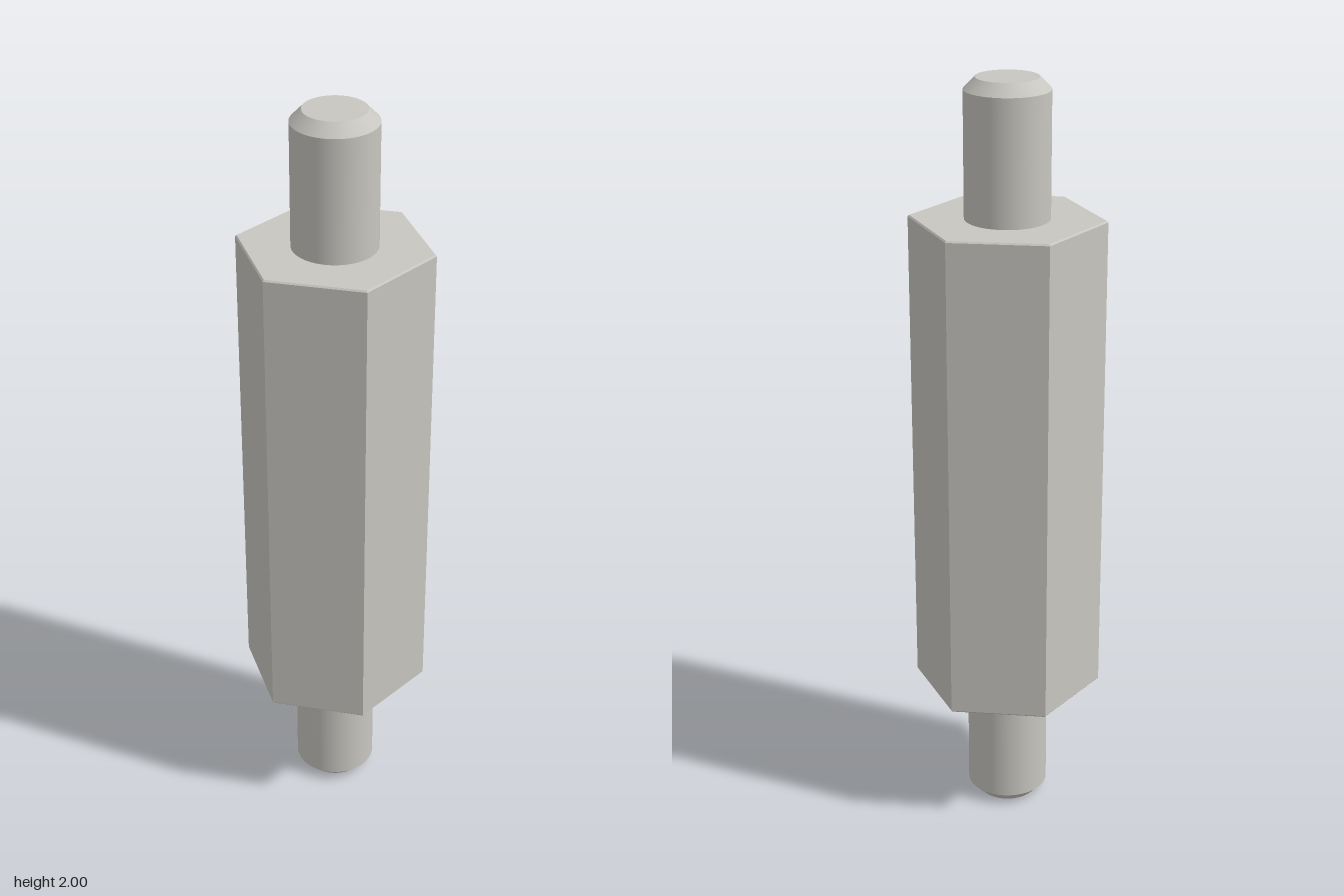
import * as THREE from 'three';

const HEX_BOTTOM = 0.355, HEX_TOP = 1.65, HEX_R = 0.25, HEX_BEVEL = 0.004;
const STUD_R = 0.108, TIP_R = 0.079, TIP_H = 0.03;

export function createModel() {
  const model = new THREE.Group();
  model.name = 'hexStandoff';
  const steel = new THREE.MeshStandardMaterial({ color: 0xc8c6c0 });
  steel.name = 'brushed steel';

  // Hexagonal body with a fine bevel at each end and flat faces
  const profile = [
    [0, HEX_BOTTOM], [HEX_R - HEX_BEVEL, HEX_BOTTOM], [HEX_R, HEX_BOTTOM + HEX_BEVEL],
    [HEX_R, HEX_TOP - HEX_BEVEL], [HEX_R - HEX_BEVEL, HEX_TOP], [0, HEX_TOP],
  ].map(([r, y]) => new THREE.Vector2(r, y));
  const hex = new THREE.LatheGeometry(profile, 6, Math.PI / 2).toNonIndexed();
  hex.computeVertexNormals();
  const body = new THREE.Mesh(hex, steel);
  body.name = 'hexBody';
  model.add(body);

  // Round stud: smooth shaft, tapered tip and end disc, growing along +y
  function makeStud(name, length) {
    const stud = new THREE.Group();
    stud.name = name;
    const add = (part, geometry, y) => {
      const mesh = new THREE.Mesh(geometry, steel);
      mesh.name = part;
      mesh.position.y = y;
      stud.add(mesh);
      return mesh;
    };
    const shaftH = length - TIP_H;
    add('shaft', new THREE.CylinderGeometry(STUD_R, STUD_R, shaftH, 64, 1, true), shaftH / 2);
    add('taperedTip', new THREE.CylinderGeometry(TIP_R, STUD_R, TIP_H, 64, 1, true), length - TIP_H / 2);
    add('endDisc', new THREE.CircleGeometry(TIP_R, 64).rotateX(-Math.PI / 2), length);
    model.add(stud);
    return stud;
  }

  makeStud('topStud', 2 - HEX_TOP).position.y = HEX_TOP;
  const lower = makeStud('bottomStud', HEX_BOTTOM);
  lower.position.y = HEX_BOTTOM;
  lower.rotation.x = Math.PI;

  return model;
}
